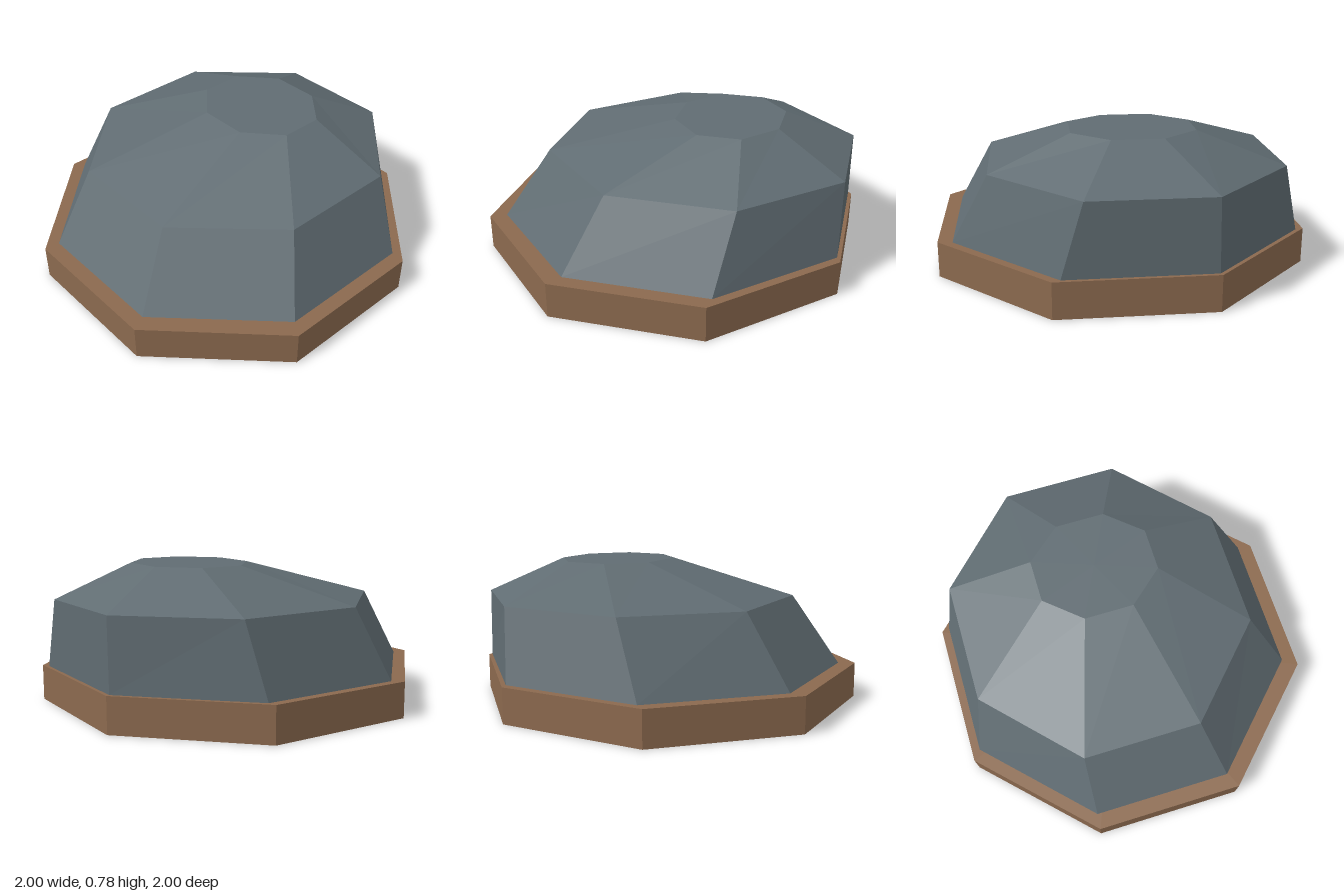
import * as THREE from 'three';

const SIDES = 8;

// Corner i of an octagon ring, given centre and half extents across its flats
function corner(ring, i) {
  const a = ((i + 0.5) / SIDES) * Math.PI * 2;
  const k = 1 / Math.cos(Math.PI / SIDES);
  return [ring.x + Math.cos(a) * k * ring.hx, ring.y, ring.z + Math.sin(a) * k * ring.hz];
}

// Closed faceted solid through a stack of rings, lowest first
function loftRings(rings) {
  const positions = [];
  const tri = (...points) => points.forEach((p) => positions.push(...p));
  const bottom = rings[0];
  const top = rings[rings.length - 1];
  for (let i = 0; i < SIDES; i++) {
    for (let r = 0; r < rings.length - 1; r++) {
      const a = corner(rings[r], i), b = corner(rings[r], i + 1);
      const c = corner(rings[r + 1], i), d = corner(rings[r + 1], i + 1);
      tri(a, c, b);
      tri(b, c, d);
    }
    tri([bottom.x, bottom.y, bottom.z], corner(bottom, i), corner(bottom, i + 1));
    tri([top.x, top.y, top.z], corner(top, i + 1), corner(top, i));
  }
  const geometry = new THREE.BufferGeometry();
  geometry.setAttribute('position', new THREE.Float32BufferAttribute(positions, 3));
  geometry.computeVertexNormals();
  return geometry;
}

export function createModel() {
  const group = new THREE.Group();
  group.name = 'rockOnBase';

  const earth = new THREE.MeshStandardMaterial({ color: 0x8b694e, flatShading: true });
  earth.name = 'earth brown';
  const slate = new THREE.MeshStandardMaterial({ color: 0x606c72, flatShading: true });
  slate.name = 'slate grey';

  // Octagonal ground slab
  const base = new THREE.Mesh(loftRings([
    { x: 0, y: 0, z: 0, hx: 1, hz: 1 },
    { x: 0, y: 0.196, z: 0, hx: 1, hz: 1 },
  ]), earth);
  base.name = 'base';

  // Leaning boulder: foot, shoulder and crown rings
  const rock = new THREE.Mesh(loftRings([
    { x: 0.0325, y: 0.196, z: -0.0175, hx: 0.9475, hz: 0.9375 },
    { x: 0.155, y: 0.586, z: -0.07, hx: 0.825, hz: 0.79 },
    { x: 0.31, y: 0.779, z: -0.0475, hx: 0.29, hz: 0.3325 },
  ]), slate);
  rock.name = 'rock';

  group.add(base, rock);
  return group;
}
